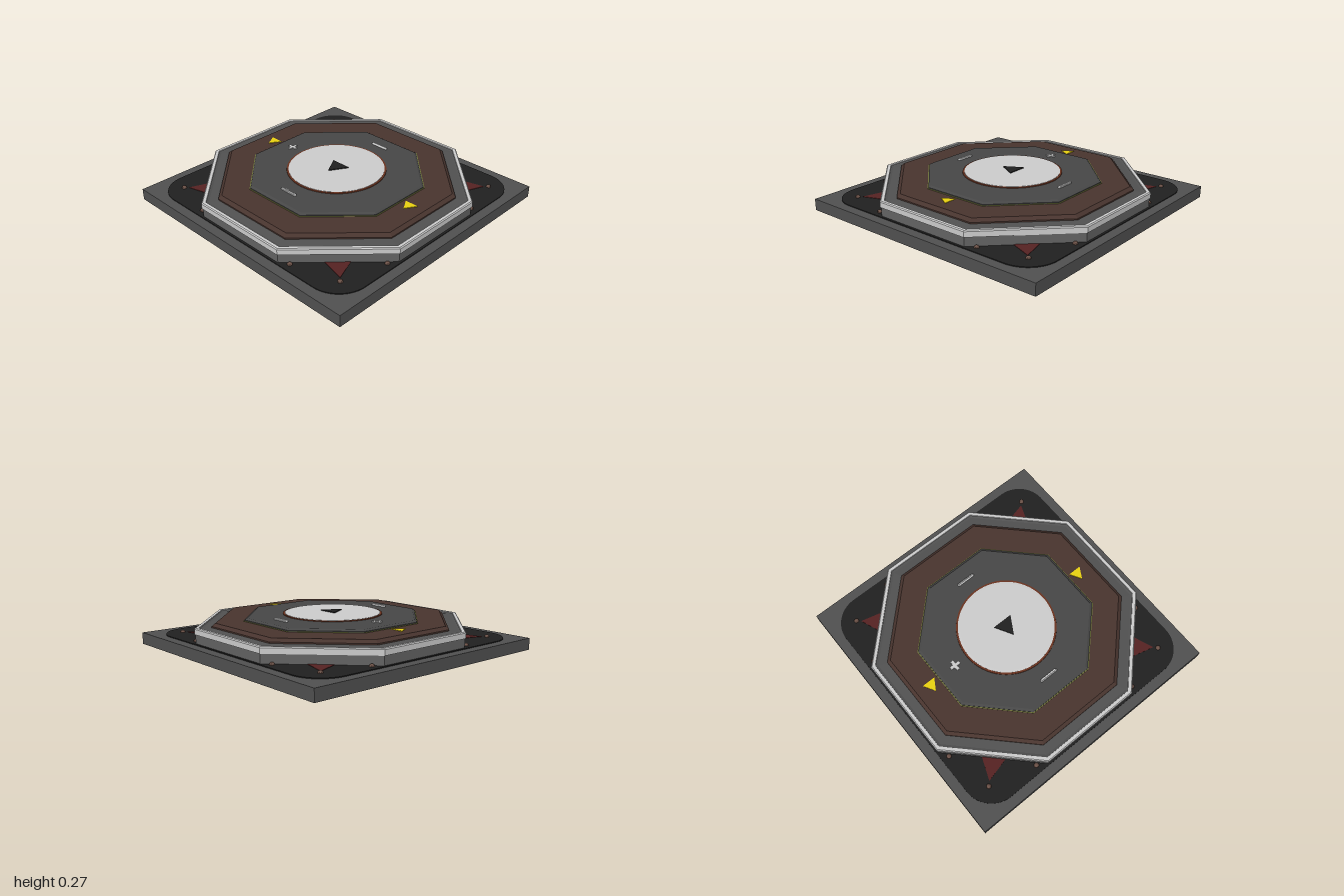
import * as THREE from 'three';

const mat = (color, flatShading = true) => new THREE.MeshStandardMaterial({ color, flatShading });
const LIGHT = mat(0xcccccc), BASE = mat(0x505050), BLACK = mat(0x202020), GREY = mat(0x464646);
const WALL = mat(0x626262), BROWN = mat(0x48342e), RUST = mat(0x6a3320), RED = mat(0x552222);
const YELLOW = mat(0xe8d010), OLIVE = mat(0x6b7038), RIVET = mat(0x6a5046);

export function createModel() {
  const model = new THREE.Group();

  const add = (name, geometry, material, x = 0, y = 0, z = 0) => {
    const mesh = new THREE.Mesh(geometry, material);
    mesh.name = name;
    mesh.position.set(x, y, z);
    model.add(mesh);
    return mesh;
  };

  // Octagonal ring or plate; profile is [apothem, height], outer side first
  const octagon = (name, profile, material) => {
    const k = 1 / Math.cos(Math.PI / 8);
    const pts = profile.map(([a, y]) => new THREE.Vector2(a * k, y));
    return add(name, new THREE.LatheGeometry(pts, 8, Math.PI / 8), material);
  };

  const round = (name, profile, material) =>
    add(name, new THREE.LatheGeometry(profile.map(([r, y]) => new THREE.Vector2(r, y)), 64), material);

  // Flat plate lying on the ground plane, outlined by a shape in (x, -z)
  const plate = (name, shape, bottom, top, material) => {
    const g = new THREE.ExtrudeGeometry(shape, { depth: top - bottom, bevelEnabled: false, curveSegments: 10 });
    return add(name, g.rotateX(-Math.PI / 2), material, 0, bottom, 0);
  };
  const polygon = (pts) => {
    const v = pts.map(([x, z]) => new THREE.Vector2(x, -z));
    return new THREE.Shape(THREE.ShapeUtils.isClockWise(v) ? v.reverse() : v);
  };

  // Square base slab
  add('baseSlab', new THREE.BoxGeometry(2, 0.085, 2), BASE, 0, 0.0425, 0);

  // Dark pad with rounded corners
  const h = 0.93, r = 0.22, pad = new THREE.Shape();
  [[1, 1], [-1, 1], [-1, -1], [1, -1]].forEach(([sx, sy], i) =>
    pad.absarc(sx * (h - r), sy * (h - r), r, i * Math.PI / 2, (i + 1) * Math.PI / 2, false));
  plate('roundedPad', pad, 0.08, 0.091, BLACK);

  // Corner arrows and rivets
  const rivet = new THREE.SphereGeometry(0.018, 10, 5, 0, Math.PI * 2, 0, Math.PI / 2);
  for (const sx of [-1, 1]) for (const sz of [-1, 1]) {
    plate('cornerArrow', polygon([[0.755, 0.765], [0.59, 0.7], [0.705, 0.57]].map(([x, z]) => [sx * x, sz * z])),
      0.085, 0.094, RED);
    for (const [x, z] of [[0.78, 0.79], [0.445, 0.875], [0.875, 0.445]])
      add('rivet', rivet, RIVET, sx * x, 0.09, sz * z);
  }

  // Octagonal platform: lower wall, pale rim, stepped decks
  octagon('lowerWall', [[0.915, 0.088], [0.915, 0.156]], WALL);
  octagon('paleRim', [[0.912, 0.155], [0.922, 0.155], [0.922, 0.193], [0.915, 0.2], [0.893, 0.2], [0.89, 0.185]], LIGHT);
  octagon('gutter', [[0.895, 0.195], [0.875, 0.189], [0.8, 0.197]], BASE);
  octagon('brownDeck', [[0.812, 0.19], [0.812, 0.205], [0.788, 0.226], [0.58, 0.228]], BROWN);
  octagon('deckTrim', [[0.606, 0.222], [0.606, 0.231], [0.595, 0.231]], OLIVE);
  octagon('innerDeck', [[0.599, 0.225], [0.599, 0.237], [0.582, 0.248], [0.3, 0.252]], GREY);

  // Central disc with rust-coloured surround
  round('discSurround', [[0.36, 0.245], [0.358, 0.256], [0.34, 0.257]], RUST);
  round('centreDisc', [[0.345, 0.25], [0.345, 0.259], [0.33, 0.26], [0, 0.264]], LIGHT);
  plate('centreArrow', polygon([[-0.085, 0], [0.045, 0.075], [0.045, -0.075]]), 0.255, 0.27, BLACK);

  // Yellow arrows on the brown deck
  for (const z of [-0.675, 0.672])
    plate('deckArrow', polygon([[-0.055, z], [0.03, z + 0.05], [0.03, z - 0.05]]), 0.22, 0.231, YELLOW);

  // Raised side bars with rounded ends, and the plus mark
  for (const s of [-1, 1]) {
    const bar = new THREE.CapsuleGeometry(0.011, 0.123, 4, 10).rotateX(Math.PI / 2);
    add('sideBar', bar, LIGHT, s * 0.467, 0.254, 0);
  }
  add('plusBarAcross', new THREE.BoxGeometry(0.076, 0.012, 0.02), LIGHT, 0, 0.25, -0.462);
  for (const s of [-1, 1])
    add('plusArm', new THREE.BoxGeometry(0.02, 0.012, 0.028), LIGHT, 0, 0.25, -0.462 + s * 0.024);

  return model;
}
